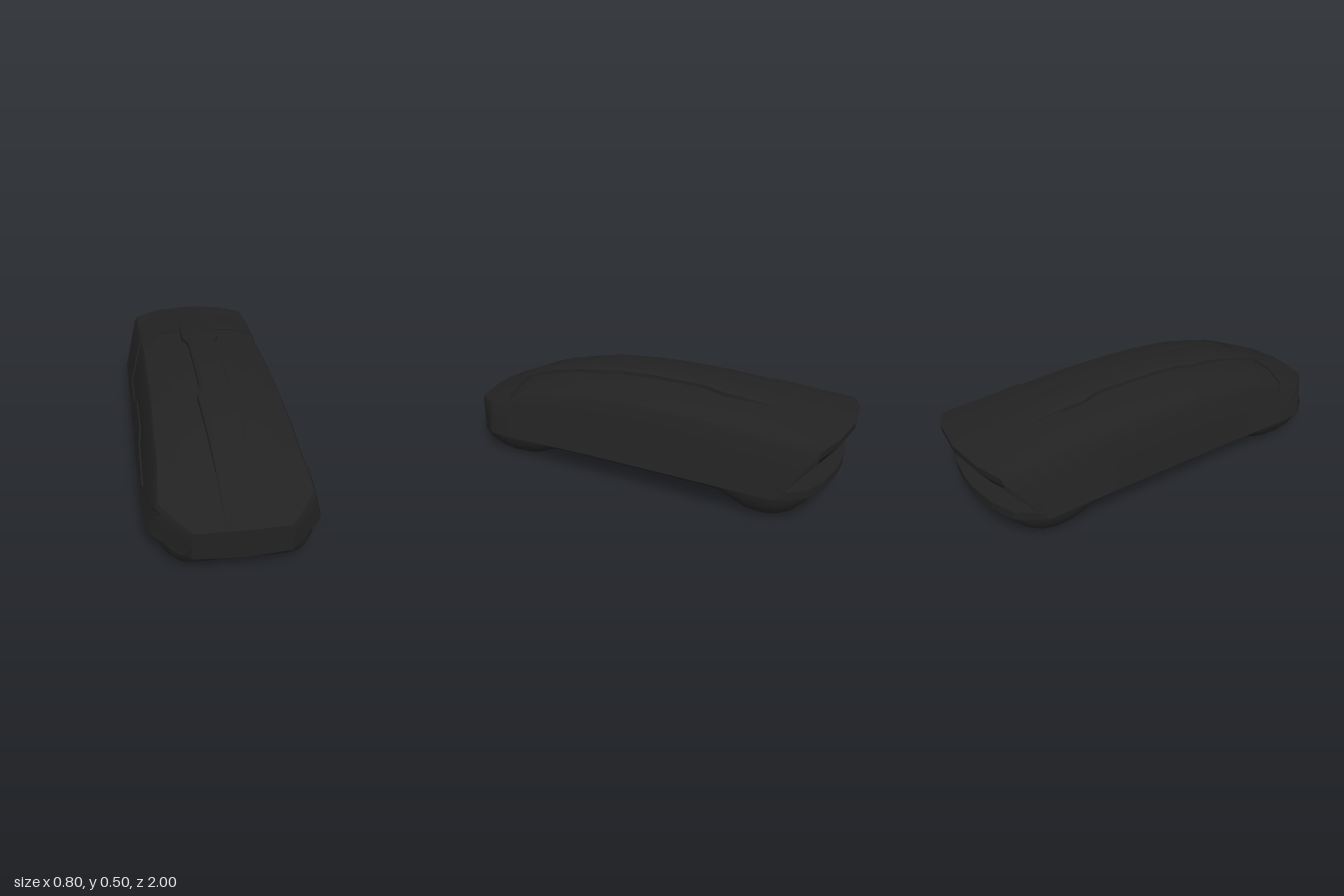
import * as THREE from 'three';
import { toCreasedNormals } from 'three/addons/utils/BufferGeometryUtils.js';

const material = new THREE.MeshStandardMaterial({ color: 0x222222, side: THREE.DoubleSide });
const V = (x, y, z) => new THREE.Vector3(x, y, z);

// Lid stations: z, half width, rim height, crown height, shoulder ratio, shoulder drop
const STATIONS = [
  [0.985, 0.205, 0.10, 0.232, 0.97, 0.008],
  [0.82, 0.37, 0.115, 0.312, 0.89, 0.05],
  [0.7, 0.388, 0.122, 0.36, 0.83, 0.047],
  [0.6, 0.392, 0.127, 0.393, 0.81, 0.047],
  [0.4, 0.394, 0.135, 0.438, 0.8, 0.047],
  [0.2, 0.394, 0.14, 0.461, 0.79, 0.047],
  [0, 0.394, 0.142, 0.471, 0.79, 0.047],
  [-0.25, 0.394, 0.144, 0.471, 0.79, 0.047],
  [-0.5, 0.394, 0.146, 0.456, 0.79, 0.045],
  [-0.75, 0.394, 0.147, 0.43, 0.8, 0.035],
  [-1, 0.394, 0.148, 0.403, 0.8, 0.02],
];
// Longitudinal lines from rim (0) to crown (4): end shears and outward directions
const FRONT_SHEAR = [0, 0, 0, 0.009, 0.015];
const BACK_SHEAR = [0.24, 0.08, 0.075, 0.025, 0];
const OUT = [[1, 0.2], [0.9, 0.4], [0.5, 0.85], [0.1, 1], [0, 1]];

// Linear lookup in a table whose first column descends
function look(table, z) {
  let i = 0;
  while (i < table.length - 2 && z < table[i + 1][0]) i++;
  const a = table[i], b = table[i + 1];
  const t = THREE.MathUtils.clamp((z - a[0]) / (b[0] - a[0]), 0, 1);
  return a.map((n, k) => n + (b[k] - n) * t);
}

// Point on the lid: v runs 0..8 from left rim over the crown to right rim
function lid(z, v, off = 0) {
  const [, w, yb, yt, r, d] = look(STATIONS, z);
  const u = v <= 4 ? v : 8 - v, sign = v <= 4 ? 1 : -1;
  const line = [[w, yb], [w * (r + 0.03), yt - d - 0.018], [w * r, yt - d], [w * 0.5, yt - d * 0.3], [0, yt]];
  const i = Math.min(3, Math.floor(u)), t = u - i;
  const mix = (a) => a[i] + (a[i + 1] - a[i]) * t;
  const pick = (a, k) => a[i][k] + (a[i + 1][k] - a[i][k]) * t;
  const f = Math.max(0, (z - 0.82) / 0.165), b = Math.max(0, (-0.6 - z) / 0.4);
  return V(sign * (pick(line, 0) + off * pick(OUT, 0)), pick(line, 1) + off * pick(OUT, 1),
    z + f * mix(FRONT_SHEAR) + b * mix(BACK_SHEAR));
}

// Skin a grid of points
function skin(name, rows, crease = 0.45) {
  const pos = [], idx = [], n = rows[0].length;
  rows.forEach((row) => row.forEach((p) => pos.push(p.x, p.y, p.z)));
  for (let i = 0; i < rows.length - 1; i++)
    for (let j = 0; j < n - 1; j++) {
      const a = i * n + j, c = a + n;
      idx.push(a, c, c + 1, a, c + 1, a + 1);
    }
  const g = new THREE.BufferGeometry();
  g.setAttribute('position', new THREE.Float32BufferAttribute(pos, 3));
  g.setIndex(idx);
  const mesh = new THREE.Mesh(toCreasedNormals(g, crease), material);
  mesh.name = name;
  return mesh;
}

const span = (n) => Array.from({ length: n + 1 }, (_, i) => i / n);
const RAISE = 0.007;

// Raised panel on the lid with a skirt that sinks into it; place(s, t) gives [z, v]
function panel(name, ss, ts, place) {
  const pad = (a) => [a[0], ...a, a[a.length - 1]];
  const S = pad(ss), T = pad(ts);
  return skin(name, S.map((s, i) => T.map((t, j) => {
    const edge = i === 0 || j === 0 || i === S.length - 1 || j === T.length - 1;
    const [z, v] = place(s, t);
    return lid(z, v, edge ? -0.004 : RAISE);
  })));
}

export function createModel() {
  const group = new THREE.Group();
  group.name = 'roofBox';
  const around = [0, 0.25, 0.5, 1, 1.5, 2, 2.5, 3, 3.5, 4, 4.5, 5, 5.5, 6, 6.5, 7, 7.5, 7.75, 8];

  // Lid with a flat underside
  group.add(skin('lid', STATIONS.map(([z]) => [...around.map((v) => lid(z, v)), lid(z, 0)])));

  // Front and rear lid panels, bounded by slanted seams
  const frontSeam = [[4, 0.745], [3, 0.735], [2, 0.7], [1, 0.69], [0.2, 0.555], [0, 0.55]];
  const rearSeam = [[4, -0.52], [2.6, -0.52], [2, -0.51], [1, -0.505], [0.25, -0.435], [0, -0.43]];
  const seam = (table, v) => look(table, v <= 4 ? v : 8 - v)[1];
  group.add(panel('frontPanel', span(12), around, (s, v) => [THREE.MathUtils.lerp(0.985, seam(frontSeam, v), s), v]));
  group.add(panel('rearPanel', span(10), around, (s, v) => [THREE.MathUtils.lerp(seam(rearSeam, v), -1, s), v]));

  // Lower side trims with a raised grip in the middle
  const trimTop = [[0.56, 0.2], [0.25, 0.25], [0.17, 0.4], [-0.1, 0.4], [-0.18, 0.24], [-0.44, 0.25]];
  const trimZ = [0.56, 0.4, 0.25, 0.17, 0.05, -0.1, -0.18, -0.3, -0.44];
  group.add(panel('leftTrim', trimZ, [0, 1], (z, t) => [z, t * look(trimTop, z)[1]]));
  group.add(panel('rightTrim', trimZ, [0, 1], (z, t) => [z, 8 - (1 - t) * look(trimTop, z)[1]]));

  // Raised centre spine: z, half width, height above the crown
  const spine = [
    [0.985, 0.072, 0.009], [0.8, 0.074, 0.014], [0.72, 0.077, 0.016], [0.26, 0.095, 0.024], [0.19, 0.075, 0.025],
    [-0.3, 0.073, 0.026], [-0.38, 0.097, 0.025], [-0.52, 0.093, 0.02], [-0.68, 0.08, 0.008],
  ];
  const profile = [[1.05, -0.9], [1, 0.45], [0.78, 0.8], [0, 1], [-0.78, 0.8], [-1, 0.45], [-1.05, -0.9]];
  group.add(skin('spine', span(60).map((s) => {
    const z = THREE.MathUtils.lerp(0.985, -0.68, s), [, w, h] = look(spine, z);
    const c = lid(z, 4);
    return profile.map(([x, y]) => V(x * w, c.y + y * h, c.z));
  }), 0.35));

  // Upright nose face
  const nose = around.map((v) => lid(0.985, v, RAISE));
  group.add(skin('noseFace', [
    nose.map((p) => V(p.x, 0.1, 0.95)), nose.map((p) => V(p.x, 0.1, p.z)), nose,
  ]));

  // Tail: upper lip, recess below it
  const tail = around.map((v) => lid(-1, v, RAISE));
  const drop = (v) => Math.min(1, v, 8 - v);
  const row = (f) => tail.map((p, i) => f(p, drop(around[i])));
  group.add(skin('tailRecess', [
    tail,
    row((p, k) => V(p.x, p.y - 0.035 * k, p.z + 0.003 * k)),
    row((p, k) => V(p.x * (1 - 0.02 * k), p.y - (p.y - 0.29) * k, p.z + 0.06 * k)),
    row((p, k) => V(p.x, Math.min(p.y, 0.2), p.z + 0.14 * k)),
    row((p, k) => V(p.x, 0.148, p.z + 0.14 * k)),
  ]));

  // Rear ledge under the recess
  const half = [[0.393, 0.74], [0.375, 0.8], [0.31, 0.885], [0.19, 0.93], [0.06, 0.95]];
  const plan = [...half, ...half.map(([x, z]) => [-x, z]).reverse()].map(([x, z]) => new THREE.Vector2(x, z));
  const ledgeGeo = new THREE.ExtrudeGeometry(new THREE.Shape(plan), { depth: 0.04, bevelEnabled: false });
  ledgeGeo.rotateX(-Math.PI / 2);
  const ledge = new THREE.Mesh(ledgeGeo, material);
  ledge.name = 'rearLedge';
  ledge.position.y = 0.147;
  group.add(ledge);

  // Tray with rounded bulges front and rear: z, half width, bottom height
  const tray = [
    [0.975, 0.2, 0.103], [0.955, 0.25, 0.06], [0.92, 0.29, 0.032], [0.87, 0.325, 0.016], [0.79, 0.355, 0.005],
    [0.7, 0.37, 0], [0.6, 0.375, 0.01], [0.53, 0.376, 0.03], [0.47, 0.376, 0.062], [0.43, 0.376, 0.075],
    [0.37, 0.376, 0.082], [-0.43, 0.376, 0.084], [-0.48, 0.376, 0.077], [-0.52, 0.376, 0.055], [-0.56, 0.376, 0.03],
    [-0.61, 0.375, 0.01], [-0.68, 0.37, 0], [-0.75, 0.36, 0.01], [-0.81, 0.34, 0.04], [-0.86, 0.31, 0.085],
    [-0.885, 0.27, 0.145],
  ];
  group.add(skin('tray', tray.map(([z, w, y]) => {
    const top = look(STATIONS, z)[2] + 0.004;
    const side = span(8).map((s) => {
      const a = s * Math.PI / 2;
      return V(w * (0.74 + 0.26 * Math.cos(a)), top - (top - y) * Math.sin(a), z);
    });
    return [...side.map((p) => V(-p.x, p.y, z)), ...side.reverse()];
  }), 0.8));

  return group;
}
